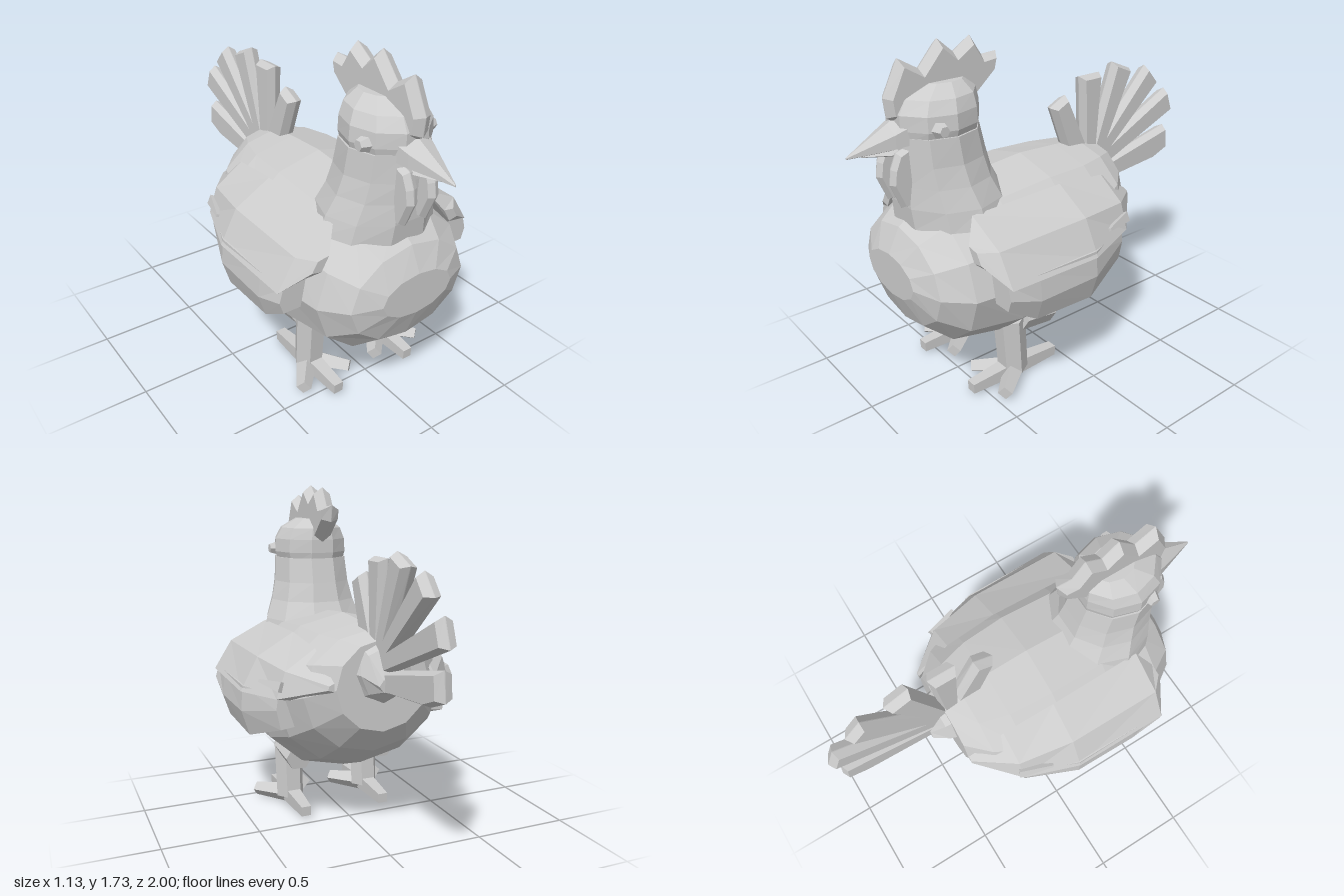
import * as THREE from 'three';

const grey = new THREE.MeshStandardMaterial({ color: 0xcccccc });
grey.name = 'plain grey';

// Faceted solid through equal-sized rings of [x, y, z] points, closed at both ends
function loft(rings) {
  const tris = [];
  const n = rings[0].length;
  for (let r = 0; r + 1 < rings.length; r++) {
    for (let i = 0; i < n; i++) {
      const j = (i + 1) % n;
      const [a, b, c, d] = [rings[r][i], rings[r][j], rings[r + 1][j], rings[r + 1][i]];
      tris.push([a, b, c], [a, c, d]);
    }
  }
  const last = rings[rings.length - 1];
  for (let i = 1; i + 1 < n; i++) {
    tris.push([rings[0][0], rings[0][i + 1], rings[0][i]], [last[0], last[i], last[i + 1]]);
  }
  // Turn the faces outwards if the rings ran the other way
  let volume = 0;
  for (const [a, b, c] of tris) {
    volume += a[0] * (b[1] * c[2] - b[2] * c[1]) + a[1] * (b[2] * c[0] - b[0] * c[2]) + a[2] * (b[0] * c[1] - b[1] * c[0]);
  }
  if (volume < 0) tris.forEach((t) => t.reverse());
  const geo = new THREE.BufferGeometry();
  geo.setAttribute('position', new THREE.Float32BufferAttribute(tris.flat(2), 3));
  geo.computeVertexNormals();
  return geo;
}

// Upright ring across the body: z, bottom, top, half width
function zRing([z, bottom, top, w], sides) {
  return Array.from({ length: sides }, (_, i) => {
    const a = (i / sides) * Math.PI * 2;
    return [Math.sin(a) * w, (top + bottom) / 2 + Math.cos(a) * (top - bottom) / 2, z];
  });
}

// Level ring: height, centre z, half depth, half width
function yRing([y, z, rz, rx], sides) {
  return Array.from({ length: sides }, (_, i) => {
    const a = ((i + 0.5) / sides) * Math.PI * 2;
    return [Math.sin(a) * rx, y, z + Math.cos(a) * rz];
  });
}

// Side outline of [z, y] points, thinned towards its rim
function plate(outline, half, bevel) {
  const shape = new THREE.Shape(outline.map(([z, y]) => new THREE.Vector2(-z, y)));
  const geo = new THREE.ExtrudeGeometry(shape, {
    depth: 0.004, bevelThickness: half, bevelSize: bevel, bevelOffset: -bevel, bevelSegments: 1,
  });
  return geo.translate(0, 0, -0.002).rotateY(Math.PI / 2);
}

// Tapered bar between two points
function bar(from, to, r0, r1, sides = 4) {
  const a = new THREE.Vector3(...from);
  const dir = new THREE.Vector3(...to).sub(a);
  const len = dir.length();
  const geo = new THREE.CylinderGeometry(r1, r0, len, sides).toNonIndexed();
  geo.rotateY(Math.PI / sides).translate(0, len / 2, 0);
  geo.computeVertexNormals();
  geo.applyQuaternion(new THREE.Quaternion().setFromUnitVectors(new THREE.Vector3(0, 1, 0), dir.normalize()));
  return geo.translate(a.x, a.y, a.z);
}

export function createModel() {
  const model = new THREE.Group();
  model.name = 'hen';
  const add = (name, geo) => {
    const mesh = new THREE.Mesh(geo, grey);
    mesh.name = name;
    model.add(mesh);
  };

  // Body and tail root
  add('body', loft([
    [0.84, 0.56, 0.77, 0.2], [0.78, 0.41, 0.89, 0.33], [0.65, 0.29, 0.98, 0.42],
    [0.38, 0.235, 1.05, 0.46], [0.08, 0.25, 1.08, 0.47], [-0.15, 0.34, 1.07, 0.44],
    [-0.3, 0.45, 1.06, 0.36], [-0.41, 0.58, 1.03, 0.24],
  ].map((r) => zRing(r, 12))));
  add('tailRoot', loft([[-0.38, 0.7, 1.04, 0.15], [-0.44, 0.74, 1.0, 0.13], [-0.51, 0.79, 0.87, 0.07]].map((r) => zRing(r, 8))));

  // Neck and head
  add('neck', loft([
    [0.9, 0.5, 0.26, 0.3], [1.0, 0.51, 0.26, 0.275], [1.1, 0.535, 0.235, 0.235],
    [1.2, 0.55, 0.225, 0.21], [1.33, 0.565, 0.21, 0.2],
  ].map((r) => yRing(r, 10))));
  add('head', loft([
    [1.3, 0.565, 0.205, 0.18], [1.36, 0.565, 0.215, 0.2], [1.43, 0.565, 0.215, 0.195],
    [1.49, 0.55, 0.19, 0.165], [1.54, 0.52, 0.11, 0.09],
  ].map((r) => yRing(r, 10))));

  // Beak
  add('upperBeak', loft([[0.72, 1.26, 1.43, 0.11], [0.8, 1.26, 1.385, 0.085], [1, 1.27, 1.28, 0.004]].map((r) => zRing(r, 6))));
  add('lowerBeak', loft([[0.72, 1.22, 1.275, 0.07], [0.93, 1.262, 1.27, 0.005]].map((r) => zRing(r, 4))));

  // Comb
  add('comb', plate([
    [0.75, 1.38], [0.8, 1.41], [0.81, 1.5], [0.73, 1.66], [0.63, 1.6], [0.53, 1.715], [0.45, 1.645],
    [0.36, 1.705], [0.3, 1.61], [0.22, 1.615], [0.235, 1.53], [0.36, 1.42], [0.42, 1.48], [0.6, 1.5],
  ], 0.045, 0.025));

  // Fan of tail feathers
  const feathers = [
    [[-0.2, 1.03], [-0.11, 1.27], [-0.21, 1.32], [-0.35, 1.01]],
    [[-0.32, 1.0], [-0.3, 1.4], [-0.44, 1.4], [-0.41, 0.97]],
    [[-0.38, 1.0], [-0.53, 1.44], [-0.66, 1.385], [-0.45, 0.94]],
    [[-0.4, 0.98], [-0.78, 1.38], [-0.87, 1.28], [-0.44, 0.9]],
    [[-0.4, 0.95], [-0.95, 1.22], [-1, 1.09], [-0.44, 0.86]],
    [[-0.42, 0.88], [-0.96, 1.0], [-0.975, 0.865], [-0.86, 0.82], [-0.45, 0.78]],
  ];
  feathers.forEach((f) => add('tailFeather', plate(f, 0.04, 0.018)));

  for (const s of [1, -1]) {
    const wing = (rings) => loft(rings.map(([z, ...pts]) => pts.map(([x, y]) => [s * x, y, z])));

    // Wing: sloping cover above a hanging panel
    add('wingCover', wing([
      [0.63, [0.34, 0.88], [0.4, 0.87], [0.43, 0.82], [0.38, 0.81]],
      [0.56, [0.27, 0.98], [0.47, 0.88], [0.565, 0.73], [0.42, 0.75]],
      [0.06, [0.28, 1.0], [0.47, 0.89], [0.56, 0.72], [0.42, 0.7]],
      [-0.22, [0.27, 0.97], [0.42, 0.87], [0.465, 0.74], [0.36, 0.72]],
      [-0.41, [0.25, 0.84], [0.275, 0.83], [0.28, 0.81], [0.25, 0.8]],
    ]));
    add('wingPanel', wing([
      [0.57, [0.42, 0.77], [0.54, 0.75], [0.56, 0.68], [0.54, 0.62], [0.45, 0.62]],
      [0.4, [0.42, 0.77], [0.55, 0.75], [0.565, 0.62], [0.53, 0.51], [0.45, 0.52]],
      [0.06, [0.4, 0.77], [0.55, 0.75], [0.56, 0.62], [0.52, 0.49], [0.42, 0.5]],
      [-0.2, [0.36, 0.77], [0.45, 0.75], [0.46, 0.68], [0.44, 0.58], [0.36, 0.59]],
    ]));
    add('wingQuill', bar([s * 0.5, 0.8, -0.07], [s * 0.435, 0.795, -0.23], 0.01, 0.035));

    // Eye
    const eye = new THREE.CylinderGeometry(0.025, 0.042, 0.05, 6).toNonIndexed();
    eye.computeVertexNormals();
    add('eye', eye.rotateZ(-s * Math.PI / 2).translate(s * 0.185, 1.37, 0.64));

    // Wattle
    add('wattle', plate([
      [0.74, 1.29], [0.8, 1.27], [0.83, 1.2], [0.84, 1.13], [0.79, 1.01], [0.75, 1.01], [0.73, 1.13],
    ], 0.028, 0.015).translate(s * 0.06, 0, 0));

    // Leg with hock
    const x = s * 0.225;
    add('leg', bar([x, 0.03, 0.31], [x, 0.34, 0.33], 0.075, 0.08, 6));
    add('hock', bar([s * 0.24, 0.34, 0.28], [s * 0.24, 0.315, 0.1], 0.08, 0.075, 6));

    // Foot: three toes forward, one back
    const toes = [[0, 0.57], [0.145, 0.47], [-0.14, 0.47], [0, 0.05]];
    toes.forEach(([dx, z]) => add('toe', bar([x, 0.039, 0.3], [x + dx, 0.027, z], 0.055, 0.037)));
  }
  return model;
}
